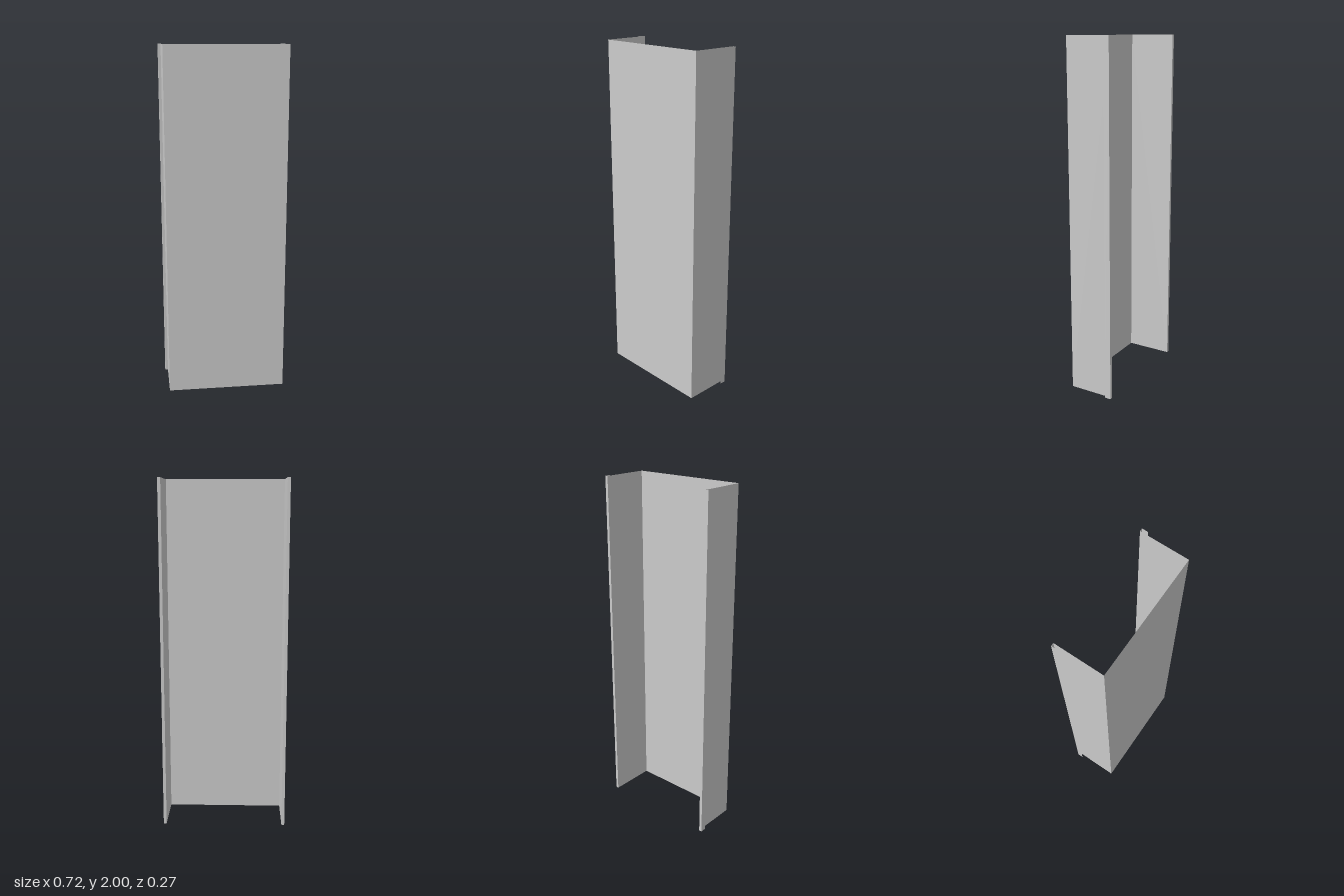
import * as THREE from 'three';

const HEIGHT = 2;
const HALF_WIDTH = 0.341; // side panels
const LIP_X = 0.358;      // outer face of the folded lips
const FRONT = 0.135;
const BACK = -0.135;
const LIP_END = -0.1;     // free edge of the lips

export function createModel() {
  const group = new THREE.Group();
  group.name = 'channelProfile';
  const material = new THREE.MeshStandardMaterial({
    color: 0xcccccc, flatShading: true, side: THREE.DoubleSide,
  });

  // Upright thin sheet between two plan points (x, z)
  function sheet(name, [x0, z0], [x1, z1]) {
    const geometry = new THREE.PlaneGeometry(Math.hypot(x1 - x0, z1 - z0), HEIGHT);
    const mesh = new THREE.Mesh(geometry, material);
    mesh.name = name;
    mesh.position.set((x0 + x1) / 2, HEIGHT / 2, (z0 + z1) / 2);
    mesh.rotation.y = -Math.atan2(z1 - z0, x1 - x0);
    group.add(mesh);
  }

  // Web
  sheet('frontPanel', [-HALF_WIDTH, FRONT], [HALF_WIDTH, FRONT]);

  // Flanges, each folded outward and then forward at the back
  for (const [side, s] of [['left', 1], ['right', -1]]) {
    const corner = [s * HALF_WIDTH, BACK];
    const fold = [s * LIP_X, BACK];
    // Wind both sides so that their fronts face outward
    const add = (name, a, b) => (s > 0 ? sheet(name, a, b) : sheet(name, b, a));
    add(side + 'SidePanel', [s * HALF_WIDTH, FRONT], corner);
    add(side + 'LipBack', fold, corner);
    add(side + 'LipReturn', [s * LIP_X, LIP_END], fold);
  }
  return group;
}
